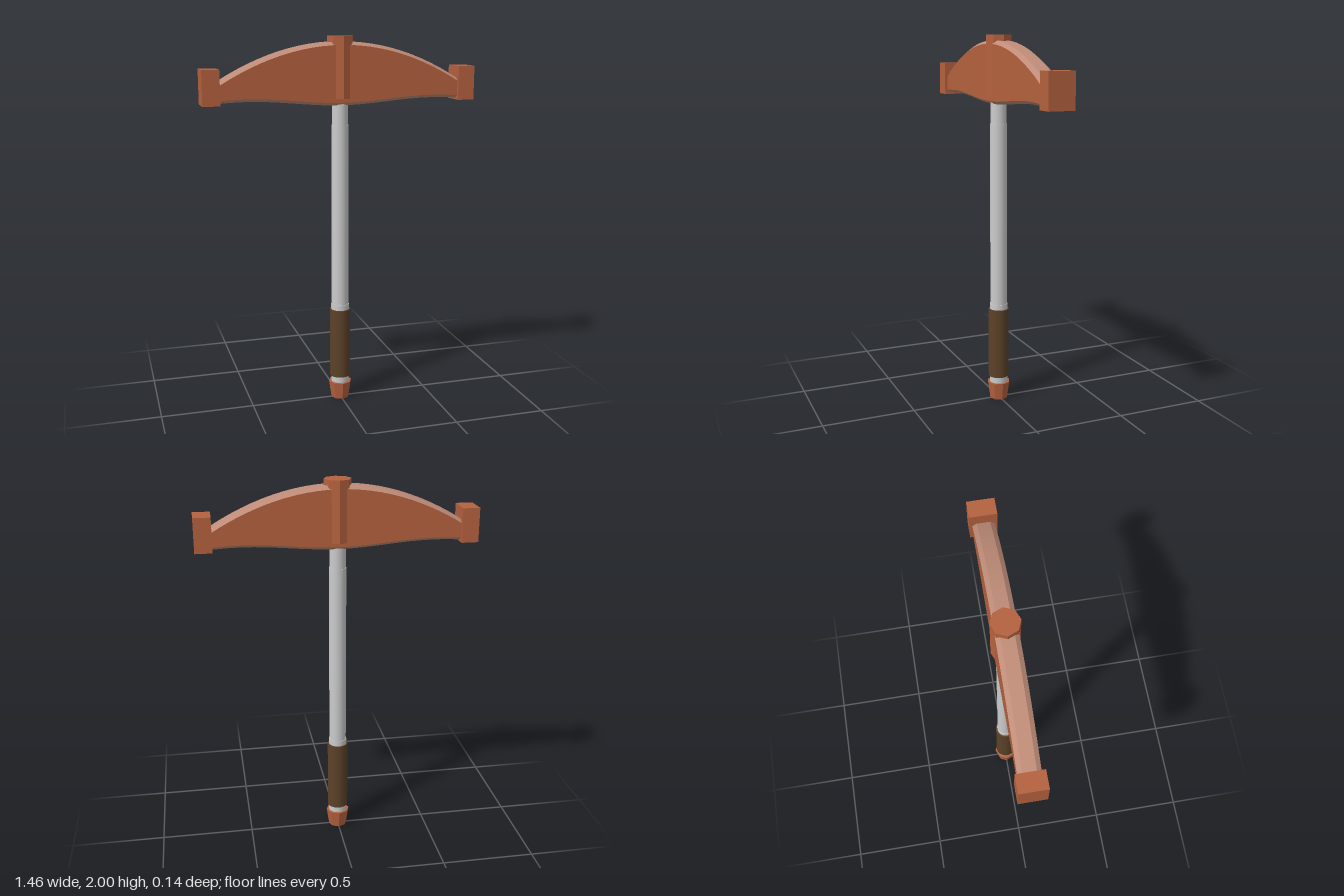
import * as THREE from 'three';

const RED = 0xb5623f, EDGE = 0xbf8c78, BROWN = 0x5c4229, GREY = 0xcccccc;

// Cross-section of the curved head at x, from lower front, up, over the back and round
function headSection(x) {
  const t = x / 0.65, w = 0.055, n = 0.033;
  const top = 1.955 - 0.2 * t * t;
  const low = 1.66 + 0.015 * (1 - Math.cos(Math.PI * x / 0.5));
  return [
    [low, w], [top, w], [top + 0.017, n], [top + 0.017, -n],
    [top, -w], [low, -w], [low - 0.015, -n], [low - 0.015, n],
  ];
}

// Lengthwise strips between the chosen section corners, crisp between strips
function headStrips(strips) {
  const steps = 24, pos = [], index = [];
  for (const k of strips) {
    const base = pos.length / 3;
    for (let i = 0; i <= steps; i++) {
      const x = -0.65 + 1.3 * i / steps, s = headSection(x);
      for (const [y, z] of [s[k], s[(k + 1) % 8]]) pos.push(x, y, z);
      if (i < steps) {
        const a = base + i * 2;
        index.push(a, a + 2, a + 3, a, a + 3, a + 1);
      }
    }
  }
  const g = new THREE.BufferGeometry();
  g.setAttribute('position', new THREE.Float32BufferAttribute(pos, 3));
  g.setIndex(index);
  g.computeVertexNormals();
  return g;
}

export function createModel() {
  const model = new THREE.Group();
  const add = (name, geometry, color, flatShading = false) => {
    const mesh = new THREE.Mesh(geometry, new THREE.MeshStandardMaterial({ color, flatShading }));
    mesh.name = name;
    model.add(mesh);
    return mesh;
  };
  // Upright cylinder between two heights
  const post = (name, rTop, rBottom, y0, y1, sides, color, flat) => {
    const mesh = add(name, new THREE.CylinderGeometry(rTop, rBottom, y1 - y0, sides), color, flat);
    mesh.position.y = (y0 + y1) / 2;
    return mesh;
  };

  // Handle
  post('pommel', 0.064, 0.05, 0, 0.095, 8, RED, true);
  post('shaftFoot', 0.049, 0.049, 0.09, 0.55, 24, GREY);
  post('grip', 0.056, 0.056, 0.13, 0.52, 24, BROWN);
  post('shaft', 0.046, 0.046, 0.54, 1.54, 24, GREY);
  post('shaftNeck', 0.043, 0.043, 1.53, 1.68, 24, GREY);

  // Head: broad faces, bevelled rims and the octagonal socket through the middle
  add('headFaces', headStrips([0, 4]), RED);
  add('headRims', headStrips([1, 2, 3, 5, 6, 7]), EDGE);
  post('socket', 0.071, 0.071, 1.68, 2, 8, RED, true);

  // Striking blocks at both ends
  for (const side of [1, -1]) {
    const block = add(side > 0 ? 'leftBlock' : 'rightBlock', new THREE.BoxGeometry(0.09, 0.18, 0.138), RED);
    block.position.set(side * 0.685, 1.75, 0);
  }
  return model;
}
